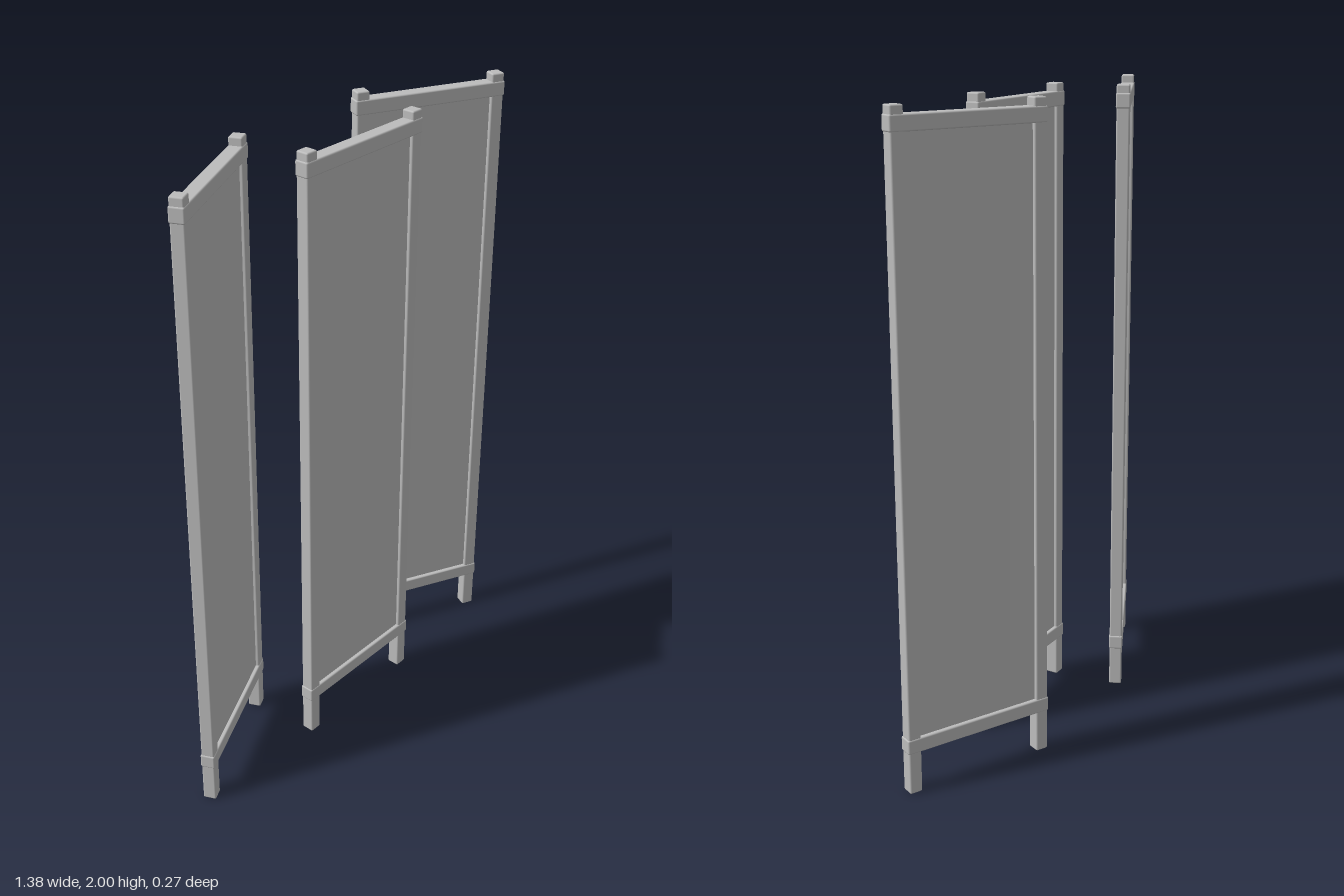
import * as THREE from 'three';
import { RoundedBoxGeometry } from 'three/addons/geometries/RoundedBoxGeometry.js';

const grey = new THREE.MeshStandardMaterial({ color: 0xbcbcbc });
grey.name = 'grey';

function addPart(parent, name, geometry, x, y) {
  const mesh = new THREE.Mesh(geometry, grey);
  mesh.name = name;
  mesh.position.set(x, y, 0);
  parent.add(mesh);
}

// One framed leaf: two posts, two rails that pass through them, and a thin infill
function makeLeaf(name, x, z, angle) {
  const leaf = new THREE.Group();
  leaf.name = name;
  const post = new RoundedBoxGeometry(0.041, 2, 0.041, 2, 0.005);
  const rail = new RoundedBoxGeometry(0.495, 0.046, 0.045, 2, 0.005);
  for (const side of [-1, 1]) {
    addPart(leaf, side < 0 ? 'rightPost' : 'leftPost', post, side * 0.224, 1);
  }
  addPart(leaf, 'topRail', rail, 0, 1.952);
  addPart(leaf, 'bottomRail', rail, 0, 0.154);
  addPart(leaf, 'infill', new THREE.BoxGeometry(0.43, 1.79, 0.02), 0, 1.053);
  leaf.position.set(x, 0, z);
  leaf.rotation.y = angle;
  return leaf;
}

export function createModel() {
  const model = new THREE.Group();
  model.name = 'roomDivider';
  const angle = THREE.MathUtils.degToRad(25.5);

  // Centre leaf stands forward; the two side leaves mirror each other
  model.add(makeLeaf('centreLeaf', 0, 0.112, 0));
  model.add(makeLeaf('rightLeaf', -0.461, -0.012, angle));
  model.add(makeLeaf('leftLeaf', 0.461, -0.012, -angle));
  return model;
}
